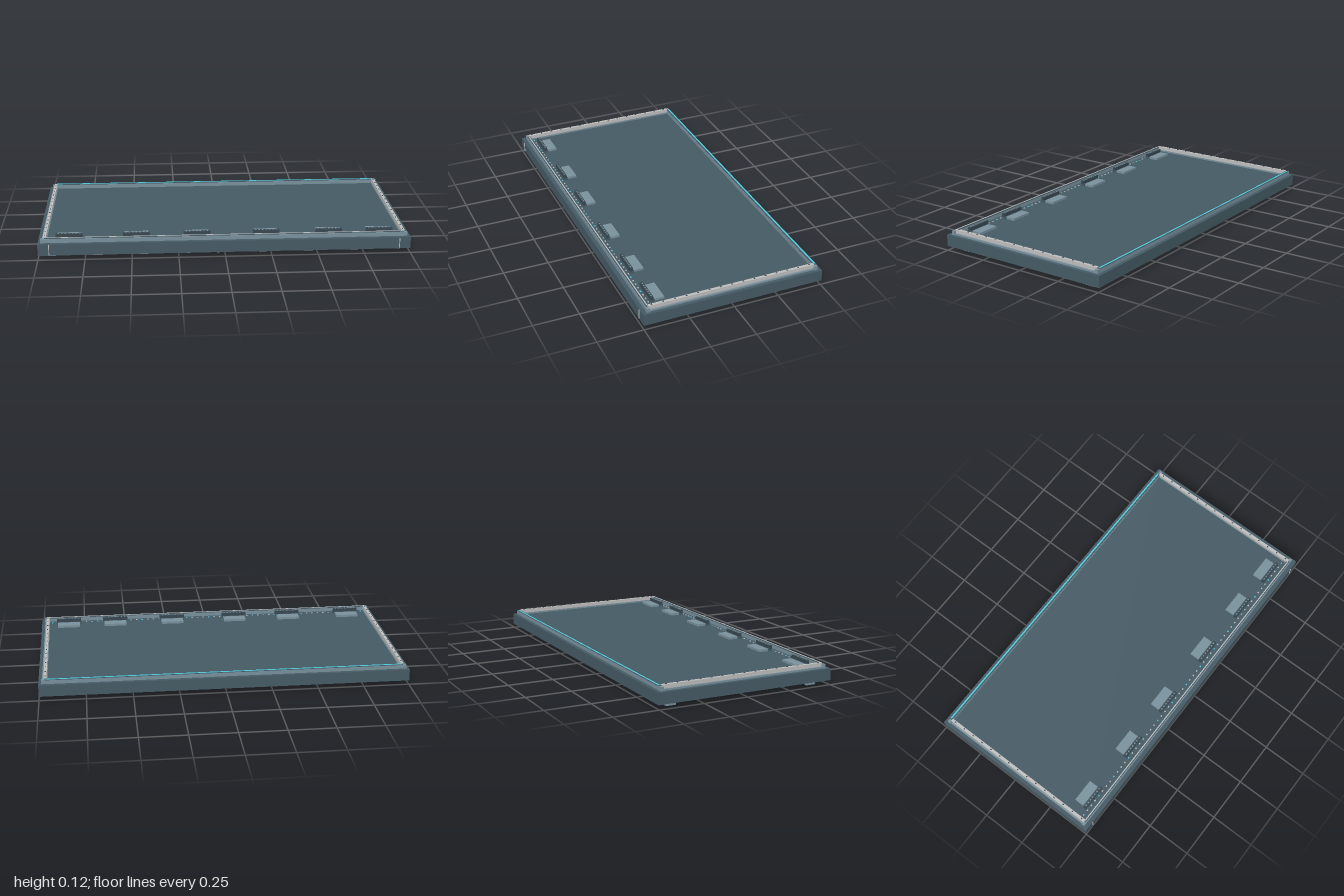
import * as THREE from 'three';

const mat = (name, color) => {
  const m = new THREE.MeshStandardMaterial({ color });
  m.name = name;
  return m;
};

export function createModel() {
  const root = new THREE.Group();
  root.name = 'platform';
  const slate = mat('slate', 0x455a64);
  const steel = mat('steel', 0x78909c);
  const pale = mat('pale grey', 0xbdbdbd);
  const dark = mat('dark slate', 0x37474f);
  const teal = mat('teal', 0x4dd0e1);

  // Box given by its lower and upper limits
  const box = (name, m, x0, x1, y0, y1, z0, z1, parent = root) => {
    const mesh = new THREE.Mesh(new THREE.BoxGeometry(x1 - x0, y1 - y0, z1 - z0), m);
    mesh.position.set((x0 + x1) / 2, (y0 + y1) / 2, (z0 + z1) / 2);
    mesh.name = name;
    parent.add(mesh);
    return mesh;
  };

  // Main slab
  box('slab', slate, -1, 1, 0.025, 0.088, -0.505, 0.5);

  // Two rows of nine feet
  for (const z of [-0.413, 0.41])
    for (let i = -4; i <= 4; i++) {
      const x = i * 0.228;
      box('foot', steel, x - 0.043, x + 0.043, 0, 0.025, z - 0.0275, z + 0.0275);
    }

  // Front rail with a pale inlay
  box('frontRail', steel, -0.985, 0.985, 0.088, 0.11, 0.461, 0.478);
  box('frontRailCap', slate, -0.965, 0.965, 0.11, 0.113, 0.458, 0.474);
  box('frontRailInlay', pale, -0.96, 0.96, 0.113, 0.1145, 0.463, 0.469);

  // Back rail with a glowing strip
  box('backRail', steel, -0.985, 0.985, 0.088, 0.11, -0.485, -0.467);
  box('backRailCap', slate, -0.965, 0.965, 0.11, 0.113, -0.487, -0.469);
  box('backRailStrip', teal, -0.96, 0.96, 0.113, 0.1145, -0.484, -0.476);

  // Side rails with small studs along the top
  for (const s of [-1, 1]) {
    const side = new THREE.Group();
    side.name = s > 0 ? 'leftRail' : 'rightRail';
    root.add(side);
    const span = (name, m, a, b, ...rest) =>
      box(name, m, Math.min(s * a, s * b), Math.max(s * a, s * b), ...rest, side);
    span('railBase', steel, 0.953, 0.981, 0.088, 0.097, -0.465, 0.465);
    span('railBar', pale, 0.956, 0.972, 0.097, 0.117, -0.47, 0.465);
    for (let i = -7; i <= 7; i++)
      span('railStud', dark, 0.961, 0.967, 0.117, 0.119, i * 0.0635 - 0.004, i * 0.0635 + 0.004);
    // Thin upright marker on the front face
    span('frontMarker', pale, 0.938, 0.942, 0.03, 0.085, 0.5, 0.504);
  }

  // Row of small lights behind the front rail
  for (let i = -28; i <= 28; i++) {
    const x = i * 0.0335;
    box('floorLight', i % 4 ? pale : teal, x - 0.004, x + 0.004, 0.088, 0.091, 0.434, 0.441);
  }

  // Control consoles
  for (const x of [-0.835, -0.475, -0.15, 0.225, 0.565, 0.84]) {
    const c = new THREE.Group();
    c.name = 'console';
    c.position.x = x;
    root.add(c);
    box('consolePanel', steel, -0.065, 0.065, 0.088, 0.101, 0.35, 0.405, c);
    box('consoleBase', slate, -0.072, 0.072, 0.088, 0.101, 0.405, 0.43, c);
    box('consoleBar', dark, -0.072, 0.072, 0.101, 0.119, 0.411, 0.428, c);
    for (let i = -3; i <= 3; i++)
      box('consoleKey', steel, i * 0.019 - 0.004, i * 0.019 + 0.004, 0.119, 0.1205, 0.416, 0.423, c);
  }
  return root;
}
